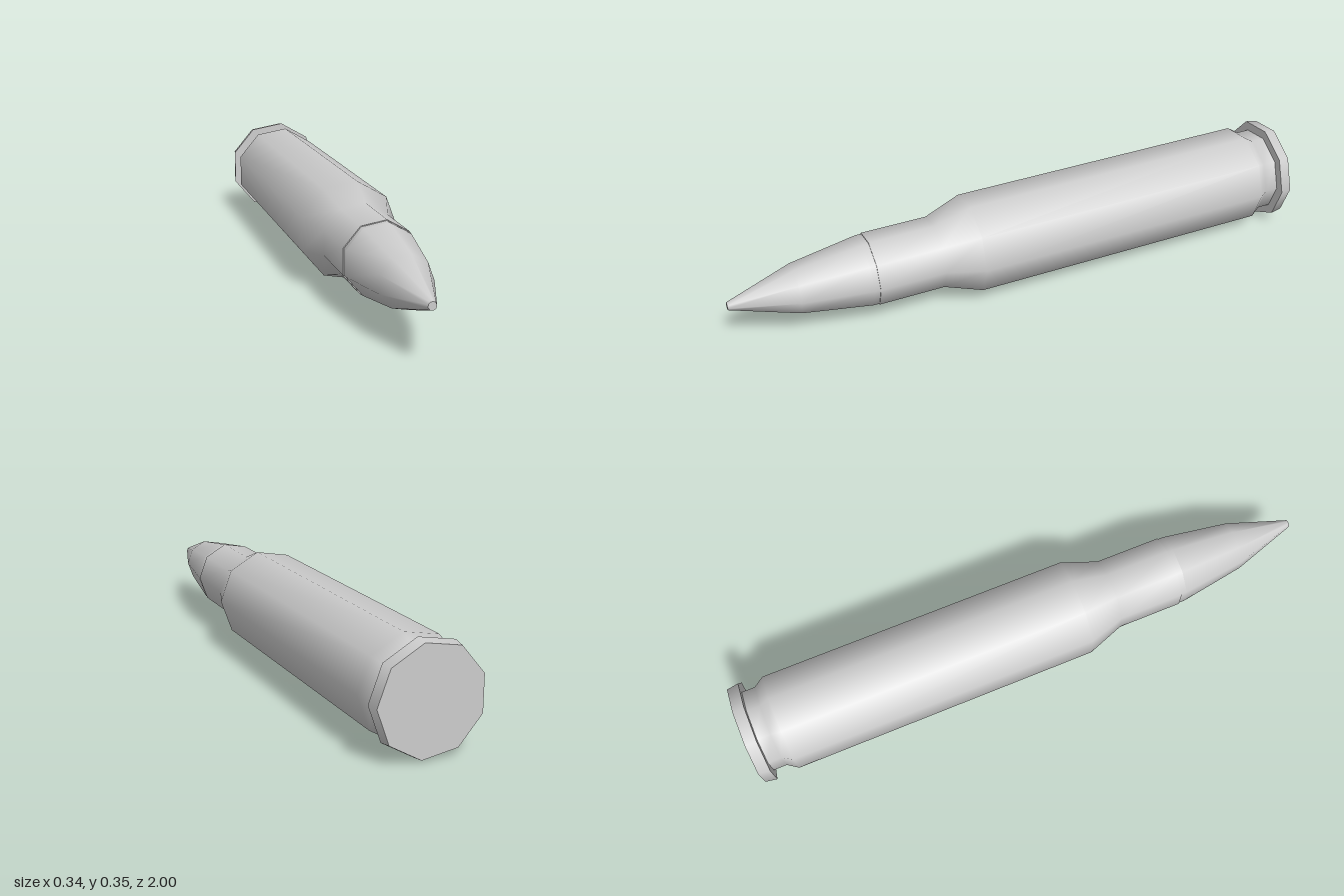
import * as THREE from 'three';

const SIDES = 9;

export function createModel() {
  const group = new THREE.Group();
  group.name = 'cartridge';
  const material = new THREE.MeshStandardMaterial({ color: 0xcccccc });

  // Turns a [radius, z] profile (back to front) around the z axis, one corner at +x
  function turned(name, profile) {
    const points = profile.map(([r, z]) => new THREE.Vector2(r, z));
    const geometry = new THREE.LatheGeometry(points, SIDES, Math.PI / 2, Math.PI * 2);
    geometry.rotateX(Math.PI / 2);
    const mesh = new THREE.Mesh(geometry, material);
    mesh.name = name;
    mesh.position.set(-0.0053, 0.174, 0);
    group.add(mesh);
  }

  // Rim: flat base, slightly flared side, flat front face
  turned('rimBase', [[0, -1], [0.17, -1]]);
  turned('rimSide', [[0.17, -1], [0.1765, -0.96]]);
  turned('rimFront', [[0.1765, -0.96], [0.144, -0.96]]);

  // Case: groove, body, shoulder and neck
  turned('caseBody', [
    [0.144, -0.96], [0.144, -0.915], [0.168, -0.88],
    [0.168, 0.18], [0.123, 0.305], [0.123, 0.53],
  ]);
  turned('caseMouth', [[0.123, 0.53], [0.12, 0.53]]);

  // Bullet: short seat, tapered nose and blunt tip
  turned('bulletSeat', [[0.12, 0.53], [0.12, 0.55]]);
  turned('bulletNose', [[0.12, 0.55], [0.084, 0.78], [0.013, 1]]);
  turned('bulletTip', [[0.013, 1], [0, 1]]);

  return group;
}
